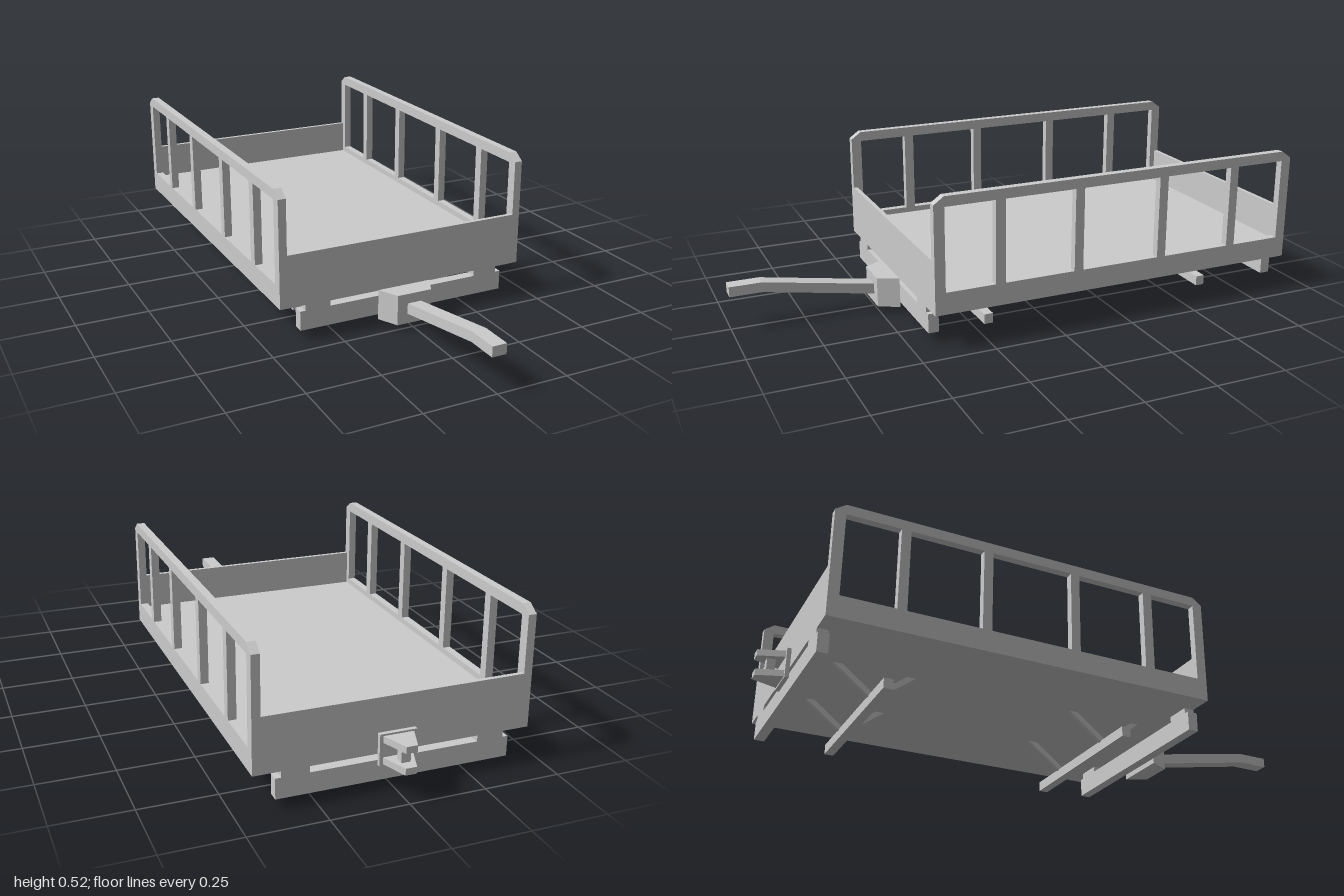
import * as THREE from 'three';

const grey = new THREE.MeshStandardMaterial({ color: 0xcccccc, flatShading: true });

export function createModel() {
  const model = new THREE.Group();
  const FRONT = 0.437, BACK = -0.9, HALF = 0.447, RAIL = 0.027;
  const BOTTOM = 0.125, POST = 0.036;

  const add = (name, geometry) => {
    const mesh = new THREE.Mesh(geometry, grey);
    mesh.name = name;
    model.add(mesh);
    return mesh;
  };

  // Box given by its limits on each axis
  const box = (name, x0, x1, y0, y1, z0, z1) =>
    add(name, new THREE.BoxGeometry(x1 - x0, y1 - y0, z1 - z0)
      .translate((x0 + x1) / 2, (y0 + y1) / 2, (z0 + z1) / 2));

  const outline = (points) => new THREE.Shape(points.map(([a, b]) => new THREE.Vector2(a, b)));
  const extrude = (shape, depth) => new THREE.ExtrudeGeometry(shape, { depth, bevelEnabled: false });

  // Side profile in (z, y), extruded across x and centred on cx
  const sideProfile = (name, shape, width, cx) =>
    add(name, extrude(shape, width).rotateY(-Math.PI / 2).translate(cx + width / 2, 0, 0));

  // Plan profile in (x, z), extruded from y0 up to y1
  const planProfile = (name, points, y0, y1) =>
    add(name, extrude(outline(points), y1 - y0).rotateX(Math.PI / 2).translate(0, y1, 0));

  // Side frames: chamfered panels with five window openings
  const openings = [[-0.864, -0.684], [-0.652, -0.402], [-0.37, -0.086], [-0.054, 0.195], [0.229, 0.401]];
  for (const side of [-1, 1]) {
    const frame = outline([
      [BACK, BOTTOM], [FRONT, BOTTOM], [FRONT, 0.493], [0.402, 0.518],
      [-0.865, 0.518], [BACK, 0.493],
    ]);
    for (const [z0, z1] of openings) {
      frame.holes.push(new THREE.Path([[z0, 0.2], [z0, 0.484], [z1, 0.484], [z1, 0.2]]
        .map(([z, y]) => new THREE.Vector2(z, y))));
    }
    sideProfile(side > 0 ? 'leftSideFrame' : 'rightSideFrame', frame, RAIL, side * (HALF - RAIL / 2));
  }

  // Load floor
  const inner = HALF - RAIL;
  box('floor', -inner, inner, BOTTOM, 0.18, BACK + 0.015, FRONT - 0.015);

  // End boards and the bumper beams hung beneath them on two tabs
  for (const [label, z0, z1, sign] of [['front', FRONT - 0.015, FRONT, 1], ['back', BACK, BACK + 0.015, -1]]) {
    box(label + 'Board', -inner, inner, BOTTOM, 0.305, z0, z1);
    const beam = outline([
      [-0.378, 0.038], [0.378, 0.038], [0.378, 0.105], [0.36, 0.105], [0.36, BOTTOM],
      [0.272, BOTTOM], [0.272, 0.105], [-0.272, 0.105], [-0.272, BOTTOM],
      [-0.36, BOTTOM], [-0.36, 0.105], [-0.378, 0.105],
    ]);
    add(label + 'Beam', extrude(beam, POST).translate(0, 0, sign > 0 ? FRONT - POST : BACK));
  }

  // Cross skids carried by pairs of V struts
  for (const z of [0.195, -0.65]) {
    box('skid', -0.306, 0.306, 0, 0.035, z - 0.016, z + 0.016);
    for (const x of [-0.155, 0.155]) {
      sideProfile('strut', outline([
        [z - 0.014, 0.03], [z + 0.014, 0.03], [z + 0.138, BOTTOM], [z + 0.108, BOTTOM],
        [z, 0.042], [z - 0.108, BOTTOM], [z - 0.138, BOTTOM],
      ]), 0.016, x);
    }
  }

  // Tapered drawbar mount and bent drawbar
  planProfile('drawbarMount', [[-0.097, FRONT], [0.097, FRONT], [0.062, 0.507], [-0.062, 0.507]], 0.02, BOTTOM);
  sideProfile('drawbar', outline([
    [0.5, 0.053], [0.89, 0.125], [1, 0.125], [1, 0.16], [0.89, 0.16], [0.5, 0.09],
  ]), 0.05, 0);

  // Rear hitch: plate, two tapered jaws and a pin
  box('hitchPlate', -0.06, 0.06, 0.09, 0.193, -0.914, BACK);
  for (const y of [0.096, 0.165]) {
    planProfile('hitchJaw', [[-0.049, -0.914], [-0.018, -1], [0.018, -1], [0.049, -0.914]], y, y + 0.022);
  }
  box('hitchPin', -0.015, 0.015, 0.118, 0.165, -0.965, -0.937);

  return model;
}
